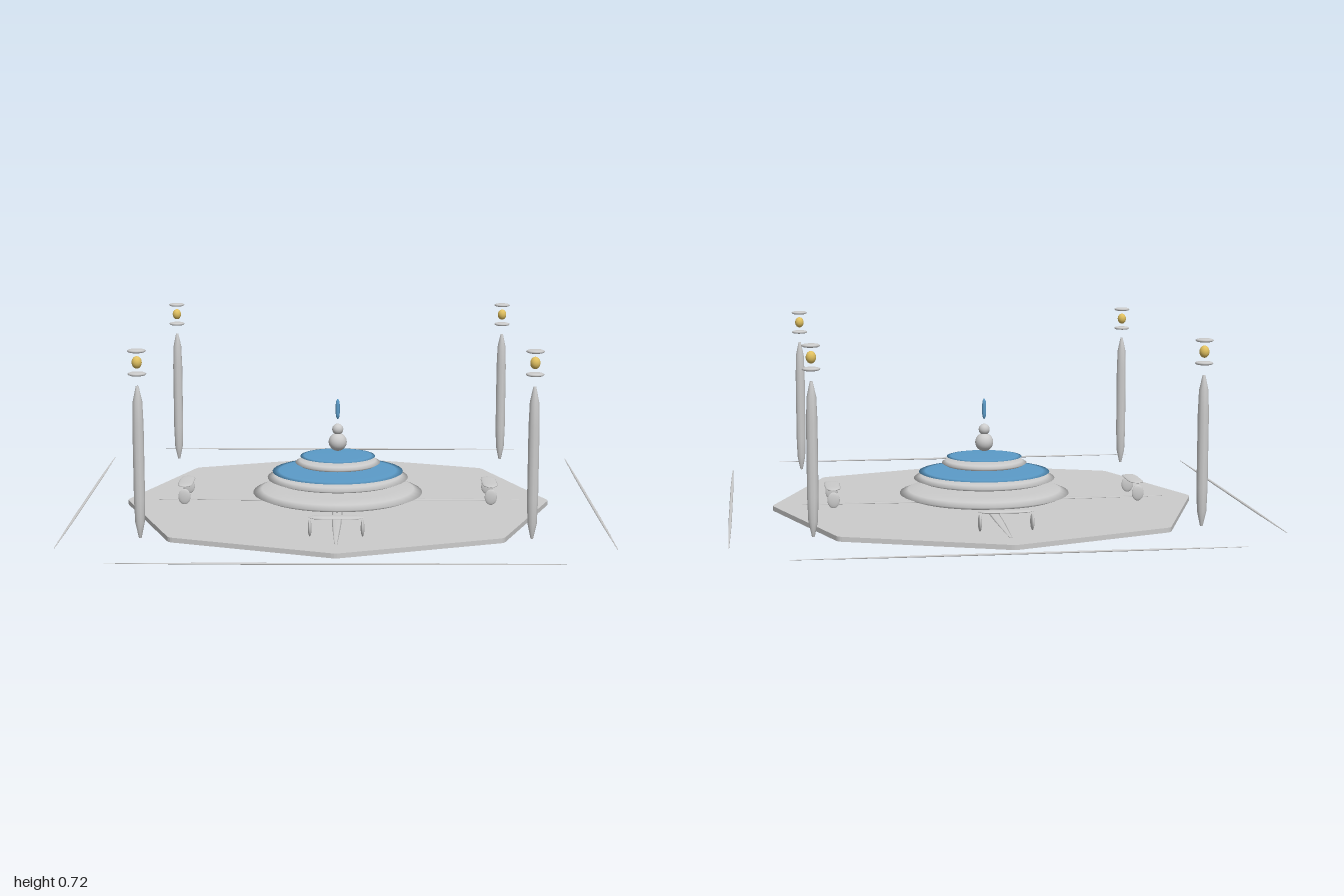
import * as THREE from 'three';

const grey = new THREE.MeshStandardMaterial({ color: 0xcccccc });
const blue = new THREE.MeshStandardMaterial({ color: 0x5b9bc8 });
const yellow = new THREE.MeshStandardMaterial({ color: 0xe0c060 });

function add(parent, name, geometry, x = 0, y = 0, z = 0, material = grey) {
  const mesh = new THREE.Mesh(geometry, material);
  mesh.name = name;
  mesh.position.set(x, y, z);
  parent.add(mesh);
  return mesh;
}

// Flat disc with a soft, tapering rim, centred on its own mid-height
function lensDisc(r, h, sides = 40) {
  const profile = [[0, -h], [0.72, -h * 0.95], [0.9, -h * 0.6], [1, 0], [0.9, h * 0.6], [0.72, h * 0.95], [0, h]];
  return new THREE.LatheGeometry(profile.map(([a, b]) => new THREE.Vector2(a * r, b)), sides);
}

function ellipsoid(rx, ry, rz) {
  return new THREE.SphereGeometry(1, 20, 14).scale(rx, ry, rz);
}

// Long bar along y that narrows towards both ends
function spindle(r, half, taper, sides) {
  const profile = [[0, -1], [0.25, -1], [0.85, -taper], [1, -taper * 0.6], [1, taper * 0.6], [0.85, taper], [0.25, 1], [0, 1]];
  return new THREE.LatheGeometry(profile.map(([a, b]) => new THREE.Vector2(a * r, b * half)), sides);
}

export function createModel() {
  const model = new THREE.Group();

  // Octagonal plaza slab with slightly blunted corners
  const plaza = new THREE.Shape();
  for (let i = 0; i < 8; i++) {
    const corner = (k) => {
      const a = (k * Math.PI) / 4, r = k % 2 ? 0.863 : 0.835;
      return new THREE.Vector2(Math.cos(a) * r, Math.sin(a) * r);
    };
    const p = corner(i);
    const before = p.clone().lerp(corner(i + 7), 0.025);
    const after = p.clone().lerp(corner(i + 1), 0.025);
    if (i) plaza.lineTo(before.x, before.y);
    else plaza.moveTo(before.x, before.y);
    plaza.quadraticCurveTo(p.x, p.y, after.x, after.y);
  }
  const slab = new THREE.ExtrudeGeometry(plaza, { depth: 0.018, bevelEnabled: false, curveSegments: 3 });
  add(model, 'plaza', slab.rotateX(-Math.PI / 2));

  // Tiered fountain
  const fountain = new THREE.Group();
  fountain.name = 'fountain';
  model.add(fountain);
  add(fountain, 'fountainFoot', new THREE.CylinderGeometry(0.1, 0.12, 0.03, 32), 0, 0.028);
  add(fountain, 'lowerBasin', lensDisc(0.335, 0.023), 0, 0.053);
  add(fountain, 'middleBasin', lensDisc(0.278, 0.018), 0, 0.112);
  add(fountain, 'middleWater', lensDisc(0.258, 0.004), 0, 0.137, 0, blue);
  add(fountain, 'upperBasin', lensDisc(0.168, 0.016), 0, 0.172);
  add(fountain, 'upperWater', lensDisc(0.148, 0.004), 0, 0.197, 0, blue);
  add(fountain, 'finialBall', ellipsoid(0.036, 0.036, 0.036), 0, 0.253);
  add(fountain, 'finialTip', ellipsoid(0.022, 0.022, 0.022), 0, 0.304);
  add(fountain, 'waterJet', spindle(0.008, 0.04, 0.75, 12), 0, 0.385, 0, blue);

  // Slim crossing paths
  for (const [name, turn] of [['pathAcross', 0], ['pathAlong', Math.PI / 2]]) {
    const path = spindle(0.02, 0.72, 0.6, 8).rotateZ(Math.PI / 2).scale(1, 0.15, 1);
    add(model, name, path, 0, 0.02, 0).rotation.y = turn;
  }

  for (let i = 0; i < 4; i++) {
    const side = new THREE.Group();
    side.name = 'side' + (i + 1);
    side.rotation.y = (i * Math.PI) / 2;
    model.add(side);

    // Bench on two flat oval legs
    const bench = new THREE.Group();
    bench.name = 'bench';
    bench.position.z = 0.6;
    side.add(bench);
    const seat = spindle(0.03, 0.1, 0.8, 16).rotateZ(Math.PI / 2).scale(1, 0.18, 1);
    add(bench, 'benchSeat', seat, 0, 0.092);
    for (const s of [-1, 1]) add(bench, 'benchLeg', ellipsoid(0.007, 0.031, 0.024), s * 0.096, 0.052);

    // Thin border rail
    const rail = spindle(0.006, 0.79, 0.6, 8).rotateZ(Math.PI / 2).scale(1, 0.6, 1);
    add(side, 'borderRail', rail, 0, 0.024, 0.994);

    // Lamp post at the corner
    const lamp = new THREE.Group();
    lamp.name = 'lampPost';
    lamp.position.set(0.7, 0, 0.7);
    side.add(lamp);
    add(lamp, 'post', spindle(0.02, 0.275, 0.8, 10), 0, 0.315);
    add(lamp, 'lampBase', lensDisc(0.033, 0.006, 24), 0, 0.633);
    add(lamp, 'lampBulb', ellipsoid(0.018, 0.022, 0.018), 0, 0.674, 0, yellow);
    add(lamp, 'lampCap', lensDisc(0.033, 0.006, 24), 0, 0.715);
  }
  return model;
}
